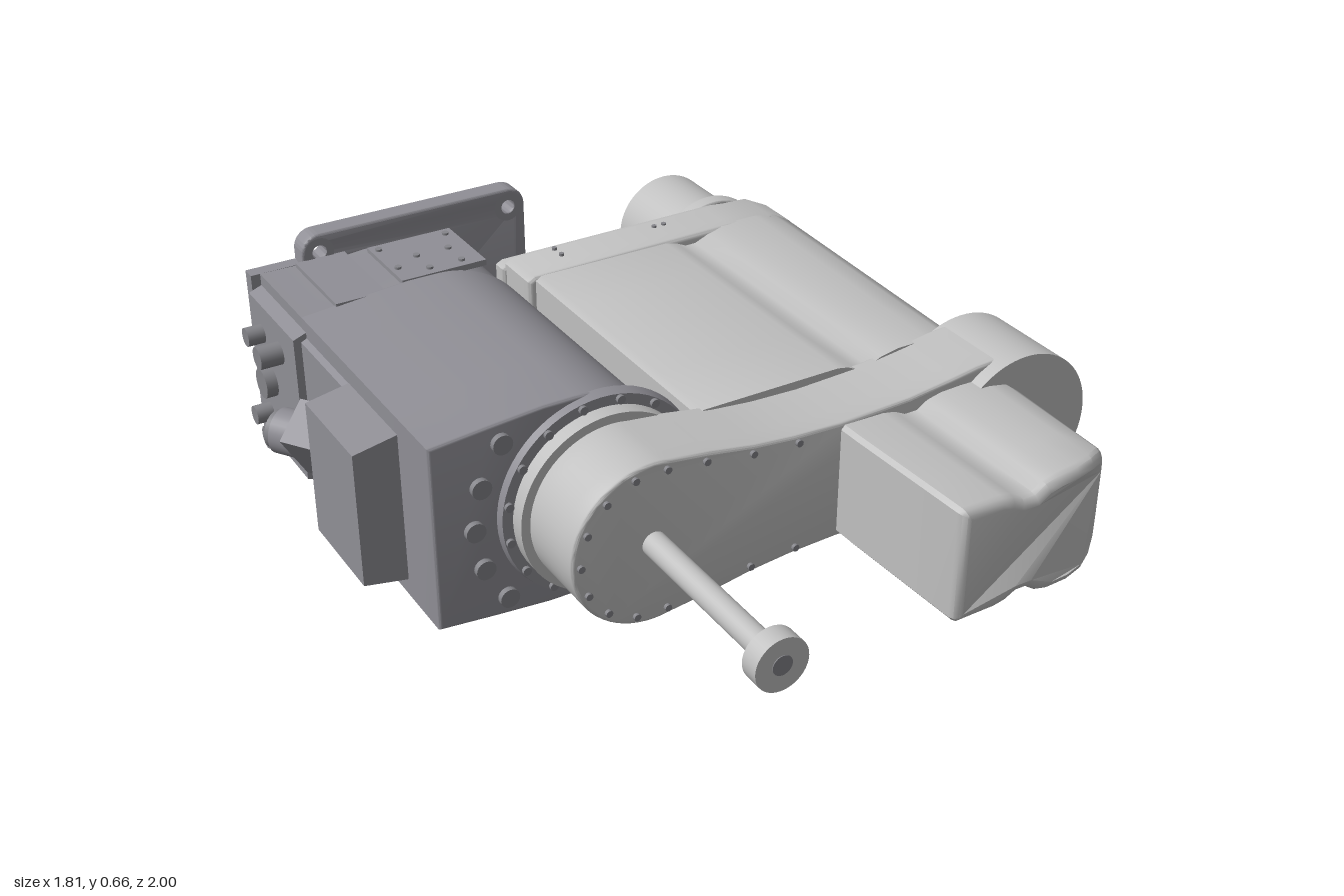
import * as THREE from 'three';
import { toCreasedNormals } from 'three/addons/utils/BufferGeometryUtils.js';

const CY = 0.335; // height of the horizontal mid plane
const PIVOT = -0.325; // x of the main pivot

export function createModel() {
  const model = new THREE.Group();
  const material = (name, color) => {
    const m = new THREE.MeshStandardMaterial({ color });
    m.name = name;
    return m;
  };
  const light = material('light grey', 0xc0c0c0);
  const dark = material('dark grey', 0x908f96);
  const metal = material('fastener grey', 0x85858a);

  const add = (name, geo, mat) => {
    const mesh = new THREE.Mesh(geo, mat);
    mesh.name = name;
    model.add(mesh);
    return mesh;
  };
  const box = (name, mat, x0, x1, y0, y1, z0, z1) =>
    add(name, new THREE.BoxGeometry(x1 - x0, y1 - y0, z1 - z0)
      .translate((x0 + x1) / 2, (y0 + y1) / 2, (z0 + z1) / 2), mat);
  const cyl = (name, mat, x, y, z0, z1, r, r2 = r, seg = 48) =>
    add(name, new THREE.CylinderGeometry(r2, r, z1 - z0, seg)
      .rotateX(Math.PI / 2).translate(x, y, (z0 + z1) / 2), mat);

  // Extrudes a shape between two depths; an optional rule moves its vertices
  const extrude = (name, mat, shape, z0, z1, bevel = 0, rule = null) => {
    const geo = new THREE.ExtrudeGeometry(shape, {
      depth: z1 - z0 - 2 * bevel, bevelEnabled: bevel > 0, bevelSize: bevel,
      bevelThickness: bevel, bevelOffset: -bevel, bevelSegments: 3, curveSegments: 24, steps: 4,
    }).translate(0, 0, z0 + bevel);
    if (rule) {
      const p = geo.attributes.position, v = new THREE.Vector3();
      for (let i = 0; i < p.count; i++) {
        rule(v.fromBufferAttribute(p, i));
        p.setXYZ(i, v.x, v.y, v.z);
      }
    }
    return add(name, toCreasedNormals(geo, 0.6), mat);
  };
  // Closed outline from [x, half height] points, mirrored about the mid plane
  const mirrored = (pts) => new THREE.Shape([
    ...pts.map(([x, h]) => new THREE.Vector2(x, CY - h)),
    ...pts.filter(([, h]) => h > 0.001).reverse().map(([x, h]) => new THREE.Vector2(x, CY + h)),
  ]);
  // Points of an arc as [x, half height]
  const arc = (cx, r, a0, a1, n, ry = r) => Array.from({ length: n + 1 }, (_, i) => {
    const a = (a0 + (a1 - a0) * i / n) * Math.PI / 180;
    return [cx + r * Math.cos(a), Math.max(0, ry * Math.sin(a))];
  });
  // Outline wrapped round two circles
  const hull = (x1, r1, x2, r2) => {
    const a = Math.acos((r1 - r2) / (x2 - x1));
    const s = new THREE.Shape();
    s.absarc(x1, CY, r1, a, 2 * Math.PI - a, false);
    s.absarc(x2, CY, r2, -a, a, false);
    return s;
  };

  // Mounting flange with four corner holes
  const flange = new THREE.Shape();
  const [fx0, fx1, fy0, fy1, fr] = [-0.64, 0, 0.01, 0.66, 0.05];
  flange.absarc(fx1 - fr, fy0 + fr, fr, -Math.PI / 2, 0, false);
  flange.absarc(fx1 - fr, fy1 - fr, fr, 0, Math.PI / 2, false);
  flange.absarc(fx0 + fr, fy1 - fr, fr, Math.PI / 2, Math.PI, false);
  flange.absarc(fx0 + fr, fy0 + fr, fr, Math.PI, 1.5 * Math.PI, false);
  for (const x of [-0.593, -0.05]) for (const s of [-1, 1]) {
    const hole = new THREE.Path();
    hole.absarc(x, CY + s * 0.275, 0.02, 0, 2 * Math.PI, true);
    flange.holes.push(hole);
    const pad = cyl('flangePad', dark, x, CY + s * 0.275, -0.755, -0.745, 0.04, 0.04, 24);
    pad.geometry.dispose();
    pad.geometry = new THREE.RingGeometry(0.02, 0.04, 24).translate(x, CY + s * 0.275, -0.748);
  }
  extrude('mountingFlange', dark, flange, -0.81, -0.75, 0.006);
  box('flangeFoot', dark, -0.53, -0.12, 0, 0.012, -0.808, -0.755);
  cyl('flangeCentrePlug', metal, -0.325, CY, -0.816, -0.8, 0.03);

  // Base housing: flat on one side, rounded on the other
  const basePts = (drop) => [
    [-0.75, 0.245], [-0.6, 0.259 - drop], [-0.46, 0.27 - drop],
    ...arc(-0.38, 0.27, 90, 0, 20, 0.27 - drop),
  ];
  extrude('baseHousing', dark, mirrored(basePts(0)), -0.5, 0.23, 0.008);
  extrude('baseRear', dark, mirrored(basePts(0.016)), -0.8, -0.49);
  box('baseBackEdge', dark, -0.775, -0.63, 0.09, 0.58, -0.808, -0.77);
  for (const s of [-1, 1]) {
    // Rear cover plates with screws, and the raised rib beside them
    const y = CY + s * 0.257;
    box('servicePlate', dark, -0.47, -0.235, y - 0.008, y + 0.008, -0.73, -0.51);
    box('sidePad', dark, -0.66, -0.525, y - 0.008, y + 0.004, -0.75, -0.485);
    for (const [x, z] of [[-0.45, -0.7], [-0.26, -0.7], [-0.45, -0.58], [-0.38, -0.62],
      [-0.29, -0.62], [-0.38, -0.54], [-0.29, -0.54]]) {
      add('plateScrew', new THREE.CylinderGeometry(0.009, 0.009, 0.012, 12)
        .translate(x, y + s * 0.008, z), metal);
    }
  }

  // Connector box on the flat side, tapered outwards
  const taperBox = (name, z0, z1, x0, h0, h1) => extrude(name, dark,
    mirrored([[x0, h0], [-0.745, h1]]), z0, z1);
  taperBox('connectorBox', -0.21, 0.065, -0.862, 0.178, 0.2);
  taperBox('connectorPanel', -0.77, -0.47, -0.785, 0.2, 0.215);
  taperBox('cableRecessPlate', -0.47, -0.21, -0.765, 0.19, 0.2);

  // Angled cable connector
  const connector = new THREE.Group();
  connector.name = 'cableConnector';
  const body = new THREE.Mesh(new THREE.BoxGeometry(0.12, 0.1, 0.17), dark);
  body.name = 'connectorBody';
  const collar = new THREE.Mesh(new THREE.CylinderGeometry(0.058, 0.058, 0.08, 32), dark);
  collar.name = 'connectorCollar';
  collar.position.y = 0.075;
  const cap = new THREE.Mesh(new THREE.CylinderGeometry(0.048, 0.05, 0.03, 32), metal);
  cap.name = 'connectorCap';
  cap.position.y = 0.118;
  connector.add(body, collar, cap);
  connector.position.set(-0.795, CY, -0.315);
  connector.quaternion.setFromUnitVectors(new THREE.Vector3(0, 1, 0),
    new THREE.Vector3(-0.56, 0, -0.83).normalize());
  model.add(connector);

  // Small sockets on the connector panel
  for (const [y, z, r, len] of [[0.45, -0.7, 0.025, 0.045], [0.45, -0.58, 0.03, 0.06],
    [0.33, -0.66, 0.04, 0.03], [0.22, -0.7, 0.025, 0.045], [0.22, -0.58, 0.03, 0.06]]) {
    add('panelSocket', new THREE.CylinderGeometry(r, r, len, 20).rotateZ(Math.PI / 2)
      .translate(-0.785 - len / 2, y, z), metal);
  }

  // Bolts on the front face of the base
  for (const [x, y] of [[-0.573, 0.21], [-0.63, 0.11], [-0.65, 0]]) {
    for (const s of y ? [-1, 1] : [1]) {
      cyl('baseBolt', metal, x, CY + s * y, 0.22, 0.245, 0.025, 0.025, 20);
    }
  }

  // Pivot bearing with a ring of screws
  cyl('bearingFlange', dark, PIVOT, CY, 0.22, 0.25, 0.268, 0.262, 64);
  cyl('bearingNeck', light, PIVOT, CY, 0.25, 0.29, 0.235, 0.235, 64);
  for (let i = 0; i < 16; i++) {
    const a = (i + 0.5) * Math.PI / 8;
    cyl('bearingScrew', metal, PIVOT + 0.25 * Math.cos(a), CY + 0.25 * Math.sin(a),
      0.245, 0.26, 0.011, 0.011, 12);
  }

  // Cross arm and its round end
  extrude('crossArm', light, mirrored([
    ...arc(PIVOT, 0.212, 180, 78, 18), [-0.18, 0.195], [-0.06, 0.174], [0.05, 0.163],
    [0.18, 0.158], [0.38, 0.165], [0.5, 0.18], [0.58, 0.192], ...arc(0.695, 0.2, 100, 0, 16),
  ]), 0.28, 0.485, 0.008);
  cyl('armRoundEnd', light, 0.695, CY, 0.272, 0.522, 0.205, 0.205, 72);
  for (let i = 0; i < 9; i++) {
    const a = (80 + i * 25) * Math.PI / 180;
    cyl('armScrew', metal, PIVOT + 0.19 * Math.cos(a), CY + 0.19 * Math.sin(a),
      0.48, 0.494, 0.009, 0.009, 12);
  }
  for (const [x, h] of [[-0.19, 0.175], [-0.065, 0.155], [0.06, 0.145]]) for (const s of [-1, 1]) {
    cyl('armScrew', metal, x, CY + s * h, 0.48, 0.494, 0.009, 0.009, 12);
  }

  // Spindle and its end disc
  cyl('spindle', light, PIVOT, CY, 0.48, 0.96, 0.031, 0.031, 32);
  cyl('spindleDisc', light, PIVOT, CY, 0.95, 1.0, 0.067, 0.067, 40);
  cyl('spindleTip', metal, PIVOT, CY, 0.99, 1.002, 0.025, 0.025, 24);

  // Front cover: grooved section, swept back towards its outer corner
  extrude('frontCover', light, mirrored([
    [0.18, 0.14], [0.19, 0.151], [0.3, 0.149], [0.335, 0.142], [0.365, 0.127], [0.4, 0.127],
    [0.43, 0.146], [0.47, 0.155], [0.53, 0.157], [0.59, 0.155], [0.64, 0.145],
    [0.68, 0.115], [0.705, 0.07],
  ]), 0.4, 0.925, 0.025, (v) => {
    const t = Math.max(0, (v.z - 0.5) / 0.42);
    v.z -= 0.1 * t * Math.max(0, (v.x - 0.43) / 0.27) ** 3;
    v.x += t * (0.45 - v.x) * 0.06;
  });

  // Long housing behind the arm, with the groove continued and a rounded side
  const housing = (grow) => mirrored([
    [-0.1, 0.172], [-0.08, 0.18], [0.3, 0.18], [0.33, 0.174], [0.36, 0.16], [0.39, 0.16],
    [0.43, 0.176], [0.48, 0.185], [0.58, 0.184], [0.64, 0.174], [0.69, 0.145],
    [0.715, 0.1], [0.722, 0.05],
  ].map(([x, h]) => [x > 0.6 ? x + grow : x, h + grow * 0.4]));
  extrude('longHousing', light, housing(0), -0.52, 0.3, 0, (v) => {
    if (v.x > 0.5) v.x += (0.1 - v.z) * 0.03;
  });
  extrude('housingRearBand', light, mirrored([
    [-0.12, 0.17], [-0.1, 0.182], [0.5, 0.186], [0.64, 0.18], [0.71, 0.145], [0.745, 0.08],
  ]), -0.645, -0.5, 0.012);
  extrude('housingEndPlate', light, mirrored([
    [-0.13, 0.155], [-0.11, 0.165], [0.55, 0.168], [0.66, 0.155], [0.715, 0.11], [0.735, 0.06],
  ]), -0.682, -0.63, 0.012);
  for (const s of [-1, 1]) for (const [x, z] of [[0.02, -0.58], [0.02, -0.62], [0.32, -0.6], [0.35, -0.6]]) {
    add('housingScrew', new THREE.CylinderGeometry(0.007, 0.007, 0.01, 10)
      .translate(x, CY + s * 0.185, z), metal);
  }

  // Rear motor pad, motor and stepped end cap
  extrude('motorPad', light, hull(0.32, 0.06, 0.565, 0.172), -0.72, -0.675, 0.005);
  cyl('motor', light, 0.56, CY, -0.95, -0.7, 0.148, 0.148, 64);
  cyl('motorCap', light, 0.56, CY, -0.972, -0.945, 0.11, 0.112, 48);
  cyl('motorBoss', light, 0.56, CY, -1.0, -0.96, 0.066, 0.066, 40);
  cyl('motorBore', metal, 0.56, CY, -1.002, -0.99, 0.028, 0.028, 24);
  for (let i = 0; i < 6; i++) {
    const a = (i + 0.5) * Math.PI / 3;
    cyl('motorScrew', metal, 0.56 + 0.09 * Math.cos(a), CY + 0.09 * Math.sin(a),
      -0.98, -0.965, 0.01, 0.01, 12);
  }
  return model;
}
